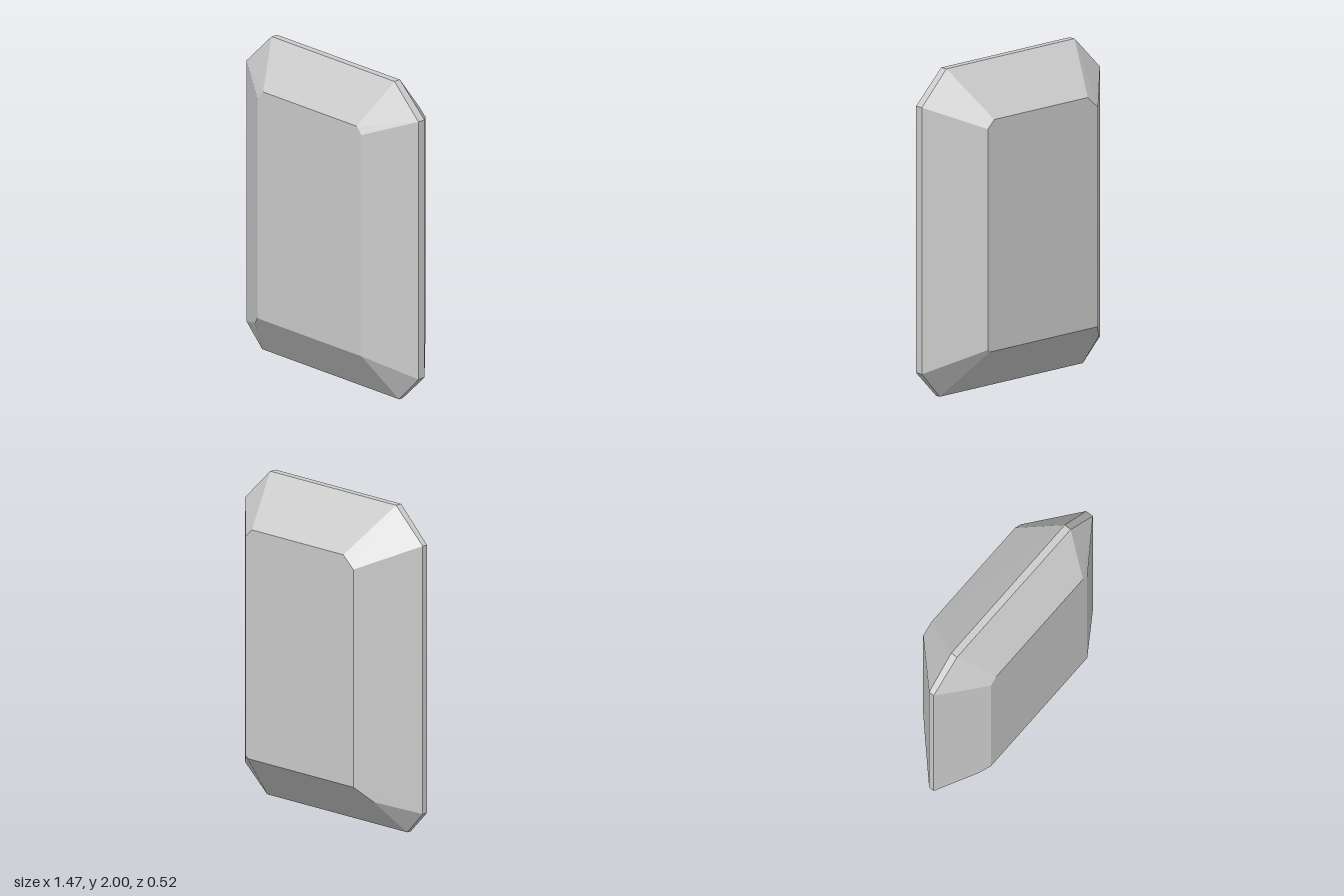
import * as THREE from 'three';
import { ConvexGeometry } from 'three/addons/geometries/ConvexGeometry.js';

export function createModel() {
  const group = new THREE.Group();
  group.name = 'cutGem';

  // Girdle: clipped rectangle as [x, y, back z], with a thin upright rim
  const girdleFront = 0.065;
  const girdle = [
    [-0.52, 2, 0.022], [0.53, 2, 0.02], [0.735, 1.8, 0.015], [0.735, 0.17, 0.015],
    [0.57, 0, 0.035], [-0.6, 0, 0.035], [-0.735, 0.14, 0.03], [-0.735, 1.79, 0.03],
  ];

  // Front table, plus the ridge point at its lower right corner
  const front = [
    [-0.39, 1.735, 0.26], [0.41, 1.735, 0.26], [0.45, 1.69, 0.26],
    [0.45, 0.29, 0.26], [-0.44, 0.29, 0.26], [-0.505, 0.23, 0.217], [-0.44, 1.68, 0.26],
  ];

  // Back table, plus its ridge point
  const back = [
    [-0.36, 1.72, -0.26], [0.405, 1.72, -0.26], [0.457, 1.67, -0.26],
    [0.457, 0.32, -0.26], [0.44, 0.305, -0.26], [-0.443, 0.305, -0.26],
    [-0.53, 0.213, -0.173], [-0.443, 1.645, -0.26],
  ];

  const points = [...front, ...back].map((p) => new THREE.Vector3(...p));
  for (const [x, y, z] of girdle) {
    points.push(new THREE.Vector3(x, y, girdleFront), new THREE.Vector3(x, y, z));
  }

  // Flat facets spanning tables and girdle
  const gem = new THREE.Mesh(
    new ConvexGeometry(points),
    new THREE.MeshStandardMaterial({ color: 0xcccccc, flatShading: true }),
  );
  gem.name = 'gemBody';
  group.add(gem);
  return group;
}
